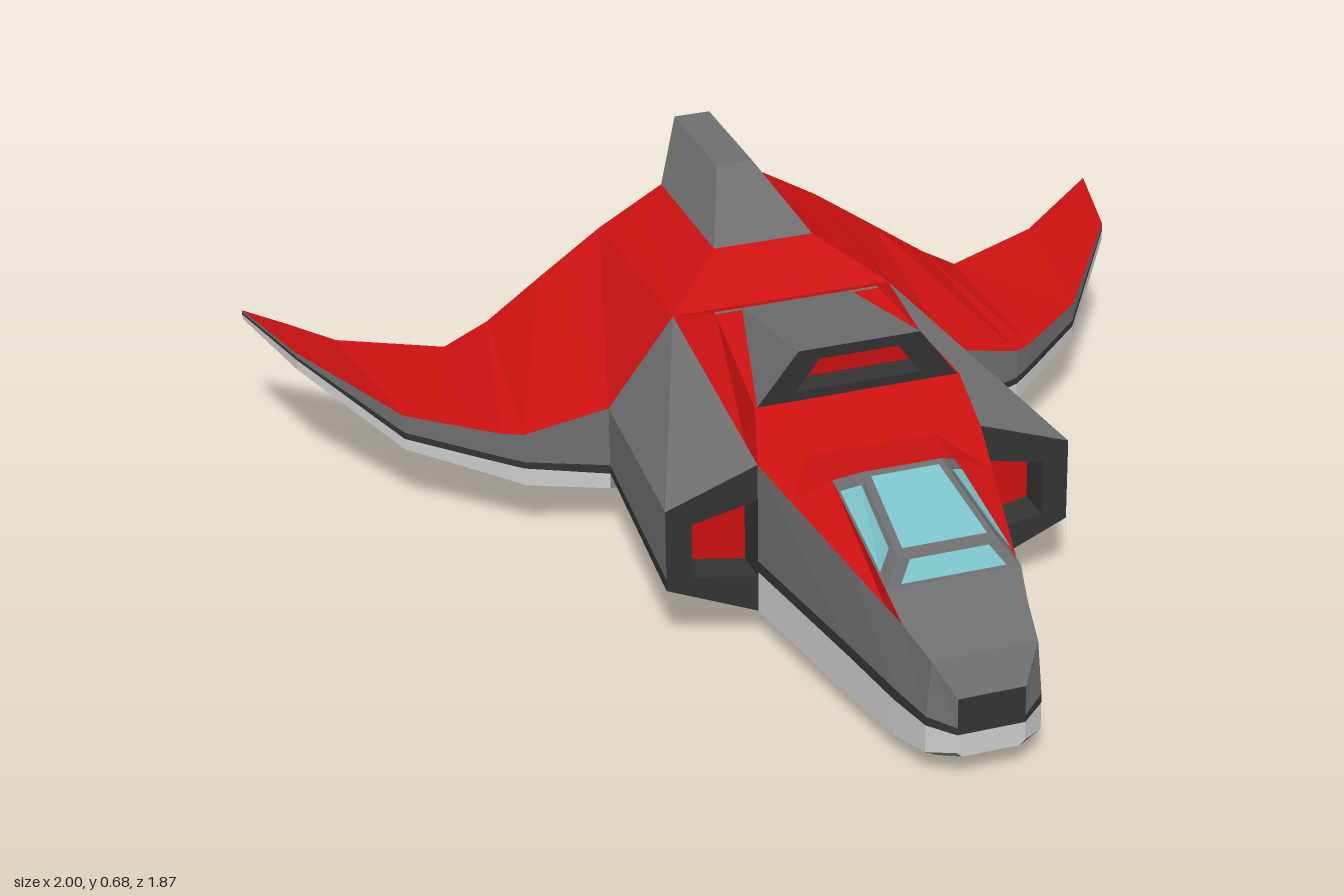
import * as THREE from 'three';

const GREY = 0x6e6e6e, DARK = 0x333333, LIGHT = 0xc4c4c4, RED = 0xcc1111, GLASS = 0x7cc4cc, BELLY = 0x747474;

// Skin through rows of [x, y, z] points, mirrored across x = 0.
function skin(group, name, color, rows, mirror = true) {
  const pos = [];
  const tri = (a, b, c) => {
    pos.push(...a, ...b, ...c);
    if (mirror) for (const p of [a, c, b]) pos.push(-p[0], p[1], p[2]);
  };
  for (let i = 0; i < rows.length - 1; i++) {
    for (let j = 0; j < rows[i].length - 1; j++) {
      const a = rows[i][j], b = rows[i + 1][j], c = rows[i][j + 1], d = rows[i + 1][j + 1];
      tri(a, c, b);
      tri(c, d, b);
    }
  }
  const geometry = new THREE.BufferGeometry();
  geometry.setAttribute('position', new THREE.Float32BufferAttribute(pos, 3));
  geometry.computeVertexNormals();
  const material = new THREE.MeshStandardMaterial({ color, flatShading: true, side: THREE.DoubleSide });
  const mesh = new THREE.Mesh(geometry, material);
  mesh.name = name;
  group.add(mesh);
}

// Cross-section: 2D points placed at one depth.
const at = (z, ...pts) => pts.map(([x, y]) => [x, y, z]);
const cols = (rows, from, to) => rows.map((r) => r.slice(from, to + 1));
const centre = (row) => row.map(([, y, z]) => [0, y, z]);

// Pane laid just above a four-cornered panel, shrunk towards its middle.
function pane(group, name, quad, scale, mirror) {
  const v = quad.map((p) => new THREE.Vector3(...p));
  const mid = v.reduce((s, p) => s.add(p), new THREE.Vector3()).multiplyScalar(0.25);
  const n = v[1].clone().sub(v[0]).cross(v[2].clone().sub(v[0])).normalize().multiplyScalar(0.004);
  const q = v.map((p) => p.clone().sub(mid).multiplyScalar(scale).add(mid).add(n).toArray());
  skin(group, name, GLASS, [[q[0], q[1]], [q[2], q[3]]], mirror);
}

function buildNose(g) {
  // Columns: top edge, dark stripe top, light stripe top, light stripe bottom, belly edge, keel
  const s = [
    at(0.93, [0.07, 0.19], [0.07, 0.125], [0.07, 0.11], [0.07, 0.07], [0.06, 0.06], [0, 0.06]),
    at(0.89, [0.11, 0.26], [0.12, 0.14], [0.12, 0.12], [0.12, 0.06], [0.1, 0.05], [0, 0.05]),
    at(0.79, [0.13, 0.29], [0.145, 0.15], [0.145, 0.125], [0.145, 0.045], [0.11, 0.03], [0, 0.03]),
    at(0.62, [0.167, 0.327], [0.175, 0.16], [0.175, 0.135], [0.175, 0.045], [0.14, 0.005], [0, 0.005]),
    at(0.28, [0.24, 0.4], [0.24, 0.18], [0.24, 0.155], [0.24, 0.065], [0.14, 0.015], [0, 0.015]),
  ];
  skin(g, 'noseSide', GREY, cols(s, 0, 1));
  skin(g, 'noseDarkStripe', DARK, cols(s, 1, 2));
  skin(g, 'noseLightStripe', LIGHT, cols(s, 2, 3));
  skin(g, 'noseBelly', BELLY, cols(s, 3, 5));
  const tip = s[0];
  skin(g, 'noseTipPanel', DARK, [centre(tip.slice(0, 3)), tip.slice(0, 3)]);
  skin(g, 'noseTipChin', LIGHT, [centre(tip.slice(2)), tip.slice(2)]);
  skin(g, 'noseTop', GREY, [
    ...s.slice(0, 3).map((r) => [[0, r[0][1], r[0][2]], r[0]]),
    at(0.73, [0, 0.335], [0.14, 0.335]),
  ]);
  skin(g, 'cockpitFlank', RED, [
    at(0.79, [0.13, 0.29], [0.13, 0.29]),
    at(0.73, [0.14, 0.335], [0.143, 0.303]),
    at(0.41, [0.13, 0.41], [0.212, 0.372]),
  ]);
  skin(g, 'cockpitRear', RED, [
    at(0.41, [0, 0.41], [0.13, 0.41], [0.212, 0.372]),
    at(0.28, [0, 0.4], [0.14, 0.4], [0.24, 0.4]),
  ]);
}

function buildCanopy(g) {
  const bf = [0.14, 0.335, 0.73], bb = [0.13, 0.41, 0.41];
  const rf = [0.105, 0.383, 0.7], rb = [0.085, 0.44, 0.45];
  const m = ([x, y, z]) => [-x, y, z];
  skin(g, 'canopyFrame', GREY, [[centre([bf])[0], bf], [centre([rf])[0], rf], [centre([rb])[0], rb], [centre([bb])[0], bb]]);
  skin(g, 'canopySideFrame', GREY, [[rf, bf], [rb, bb]]);
  pane(g, 'roofGlass', [m(rf), rf, m(rb), rb], 0.84, false);
  pane(g, 'windshield', [m(bf), bf, m(rf), rf], 0.78, false);
  pane(g, 'sideGlass', [rf, bf, rb, bb], 0.74, true);
}

function buildPods(g) {
  const front = at(0.28, [0.24, 0.4], [0.435, 0.33], [0.435, 0.175], [0.435, 0.15], [0.24, 0.065]);
  const back = at(-0.24, [0.24, 0.49], [0.385, 0.3], [0.385, 0.165], [0.385, 0.145], [0.24, 0.105]);
  const s = [front, back];
  skin(g, 'podSkin', GREY, cols(s, 0, 2));
  skin(g, 'podDarkStripe', DARK, cols(s, 2, 3));
  skin(g, 'podLightStripe', LIGHT, cols(s, 3, 4));
  skin(g, 'midBelly', BELLY, [
    at(0.28, [0.24, 0.065], [0.14, 0.015], [0, 0.015]),
    at(0.22, [0.24, 0.07], [0.14, 0.02], [0, 0.02]),
    at(-0.18, [0.24, 0.1], [0.14, 0.07], [0, 0.07]),
    at(-0.24, [0.24, 0.105], [0.14, 0.07], [0, 0.07]),
  ]);
  // Hollow intake: dark rim, dark walls, red plate inside
  const mouth = [[0.24, 0.32], [0.38, 0.29], [0.38, 0.17], [0.24, 0.145]];
  skin(g, 'intakeRim', DARK, [at(0.28, ...mouth), [0, 1, 3, 4].map((i) => front[i])]);
  skin(g, 'intakeWall', DARK, [at(0.2, ...mouth, mouth[0]), at(0.28, ...mouth, mouth[0])]);
  skin(g, 'intakePlate', RED, [at(0.2, mouth[0], mouth[3]), at(0.2, mouth[1], mouth[2])]);
}

function buildDeck(g) {
  skin(g, 'deck', RED, [
    at(0.28, [0, 0.4], [0.24, 0.4], [0.24, 0.4]),
    [[0, 0.49, 0.21], [0.22, 0.49, 0.21], [0.24, 0.412, 0.21]],
    [[0, 0.53, -0.14], [0.18, 0.53, -0.14], [0.24, 0.473, -0.14]],
    at(-0.24, [0, 0.49], [0.24, 0.49], [0.24, 0.49]),
    at(-0.35, [0, 0.575], [0.11, 0.575], [0.11, 0.575]),
  ]);
  // Dorsal scoop, open to the front
  const outer = [[0, 0.605, 0.22], [0.13, 0.605, 0.22], [0.215, 0.49, 0.21], [0, 0.49, 0.21]];
  const inner = [[0, 0.58, 0.218], [0.085, 0.58, 0.218], [0.135, 0.51, 0.212], [0, 0.51, 0.212]];
  const deep = inner.map(([x, y, z]) => [x, y, z - 0.06]);
  skin(g, 'scoopShell', GREY, [outer.slice(0, 3), at(-0.15, [0, 0.53], [0.12, 0.53], [0.18, 0.53])]);
  skin(g, 'scoopRim', DARK, [inner, outer]);
  skin(g, 'scoopWall', DARK, [deep, inner]);
  skin(g, 'scoopPlate', RED, [centre(deep), deep]);
}

function buildWings(g) {
  // Upper skin: front and trailing edges, running outward from the middle
  const topFront = [[0, 0.575, -0.35], [0.11, 0.575, -0.35], [0.24, 0.49, -0.24], [0.385, 0.3, -0.24],
    [0.56, 0.25, -0.28], [0.6, 0.245, -0.31], [0.77, 0.245, -0.46], [0.94, 0.315, -0.69], [1, 0.315, -0.935]];
  const topRear = [[0, 0.575, -0.7], [0.11, 0.575, -0.7], [0.25, 0.49, -0.71], [0.39, 0.39, -0.715],
    [0.51, 0.305, -0.715], [0.6, 0.245, -0.745], [0.82, 0.26, -0.83], [0.91, 0.29, -0.88], [1, 0.315, -0.935]];
  skin(g, 'wingTop', RED, [topFront, topRear]);

  // Leading edge: heights of dark stripe top, light stripe top and light stripe bottom
  const heights = [[0.165, 0.145, 0.11], [0.185, 0.17, 0.13], [0.19, 0.175, 0.14], [0.205, 0.19, 0.165], [0.305, 0.298, 0.275], [0.31, 0.305, 0.295]];
  const edge = topFront.slice(3).map((p, i) => [p, ...heights[i].map((y) => [p[0], y, p[2]])]);
  skin(g, 'wingLeadingEdge', GREY, cols(edge, 0, 1));
  skin(g, 'wingDarkStripe', DARK, cols(edge, 1, 2));
  skin(g, 'wingLightStripe', LIGHT, cols(edge, 2, 3));

  // Underside with the belly, running inward from the tip
  const tip = [1, 0.295, -0.935];
  const low = edge.map((e) => e[3]).reverse();
  const belowFront = [...low, [0.24, 0.105, -0.24], [0.14, 0.07, -0.24], [0, 0.07, -0.24]];
  const belowMid = [tip, [0.93, 0.275, -0.78], [0.79, 0.165, -0.62], [0.6, 0.13, -0.55], [0.53, 0.115, -0.55],
    [0.39, 0.105, -0.55], [0.25, 0.09, -0.55], [0.14, 0.07, -0.55], [0, 0.07, -0.55]];
  const belowRear = [tip, [0.91, 0.255, -0.88], [0.82, 0.17, -0.83], [0.6, 0.14, -0.745], [0.51, 0.11, -0.715],
    [0.39, 0.11, -0.715], [0.25, 0.11, -0.71], [0.14, 0.11, -0.7], [0, 0.11, -0.7]];
  skin(g, 'wingUnderside', BELLY, [belowFront, belowMid, belowRear]);
  skin(g, 'wingTrailingEdge', GREY, [topRear, [...belowRear].reverse()]);
}

function buildTail(g) {
  // Swept dorsal fin
  const base = [[0.11, 0.575, -0.35], [0.11, 0.575, -0.7]], top = [[0.04, 0.68, -0.53], [0.04, 0.68, -0.81]];
  skin(g, 'finSide', GREY, [[top[0], base[0]], [top[1], base[1]]]);
  skin(g, 'finRidge', GREY, [base[0], top[0], top[1], base[1]].map((p) => [[0, p[1], p[2]], p]));

  // Engine mount and dark nozzle box with a red end plate
  const ring = [[0, 0.445], [0.13, 0.445], [0.18, 0.41], [0.18, 0.21], [0.13, 0.17], [0, 0.17]];
  const lip = [[0, 0.435], [0.1, 0.435], [0.125, 0.41], [0.125, 0.2], [0.1, 0.175], [0, 0.175]];
  const plate = [[0, 0.415], [0.105, 0.415], [0.115, 0.4], [0.115, 0.21], [0.105, 0.195], [0, 0.195]];
  skin(g, 'engineMount', GREY, [
    at(-0.71, [0, 0.5], [0.2, 0.5], [0.25, 0.47], [0.25, 0.15], [0.2, 0.11], [0, 0.11]),
    at(-0.775, ...ring),
  ]);
  skin(g, 'nozzle', DARK, [at(-0.775, ...ring), at(-0.84, ...ring), at(-0.885, ...lip), at(-0.885, ...plate)]);
  const end = at(-0.885, ...plate);
  skin(g, 'nozzlePlate', RED, [end, centre(end)]);
}

export function createModel() {
  const model = new THREE.Group();
  model.name = 'spacecraft';
  const parts = { nose: buildNose, canopy: buildCanopy, intakePods: buildPods, deck: buildDeck, wings: buildWings, tail: buildTail };
  for (const [name, build] of Object.entries(parts)) {
    const part = new THREE.Group();
    part.name = name;
    build(part);
    model.add(part);
  }
  model.position.y = -0.005;
  return model;
}
